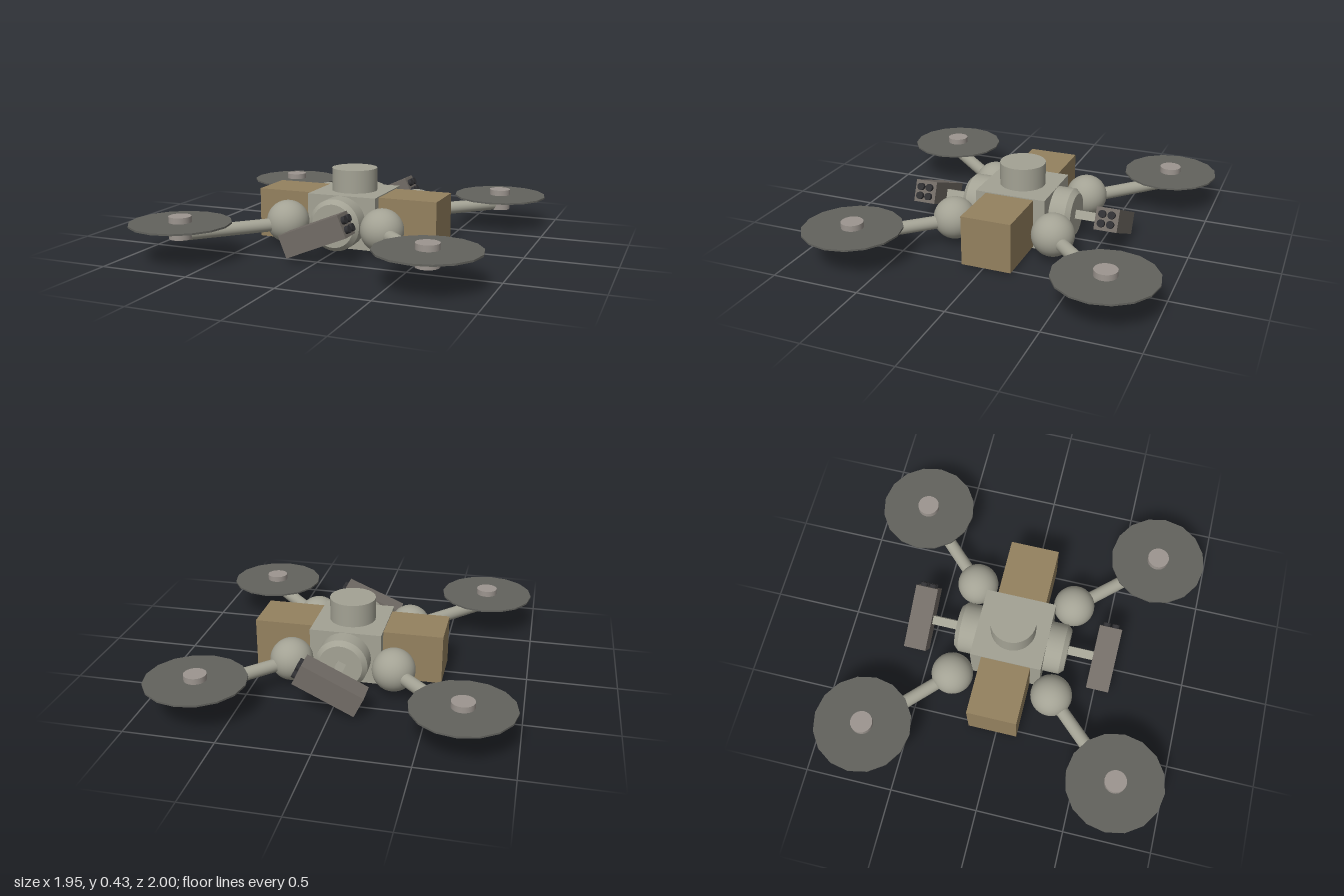
import * as THREE from 'three';

const paint = (color, flatShading = false) => new THREE.MeshStandardMaterial({ color, flatShading });

export function createModel() {
  const model = new THREE.Group();
  model.name = 'drone';

  const hull = paint(0xa3a294);
  const tan = paint(0x94815f);
  const gunmetal = paint(0x726c66);
  const rotorGrey = paint(0x62625d, true);
  const motorGrey = paint(0x9c958f);
  const dark = paint(0x303033);

  const add = (parent, name, geometry, material, x = 0, y = 0, z = 0) => {
    const mesh = new THREE.Mesh(geometry, material);
    mesh.name = name;
    mesh.position.set(x, y, z);
    parent.add(mesh);
    return mesh;
  };

  // Central body with round top hatch and cargo boxes on both sides
  add(model, 'body', new THREE.BoxGeometry(0.405, 0.3, 0.41), hull, 0.003, 0.15, -0.025);
  add(model, 'topHatch', new THREE.CylinderGeometry(0.13, 0.13, 0.14, 32), hull, 0.003, 0.36, -0.025);
  for (const side of [-1, 1]) {
    add(model, side > 0 ? 'leftCargoBox' : 'rightCargoBox',
      new THREE.BoxGeometry(0.35, 0.284, 0.285), tan, 0.003 + side * 0.362, 0.152, -0.022);
  }

  // Chamfered collar, mount rod and tilted gun at the front and the back
  const mounts = [
    { name: 'front', dir: 1, tilt: 22.5, gunZ: 0.515 },
    { name: 'back', dir: -1, tilt: 25.5, gunZ: -0.575 },
  ];
  for (const { name, dir, tilt, gunZ } of mounts) {
    const angle = THREE.MathUtils.degToRad(tilt);
    const turn = dir * Math.PI / 2;
    const faceZ = -0.025 + dir * 0.2;

    const collar = new THREE.Group();
    collar.name = name + 'Collar';
    collar.position.set(0.003, 0.152, faceZ);
    collar.rotation.x = turn;
    add(collar, 'collarDrum', new THREE.CylinderGeometry(0.147, 0.147, 0.1, 32), hull, 0, 0.05, 0);
    add(collar, 'collarChamfer', new THREE.CylinderGeometry(0.122, 0.147, 0.027, 32), hull, 0, 0.1135, 0);
    model.add(collar);

    const gun = new THREE.Group();
    gun.name = name + 'Gun';
    gun.position.set(0.004, 0.155, gunZ);
    gun.rotation.z = angle;
    add(gun, 'gunHousing', new THREE.BoxGeometry(0.368, 0.127, 0.13), gunmetal);
    add(gun, 'mountRod', new THREE.BoxGeometry(0.05, 0.05, 0.19), hull, 0, 0, -dir * 0.16);
    for (const by of [-0.026, 0.026]) {
      for (const bz of [-0.026, 0.026]) {
        const barrel = add(gun, 'barrel', new THREE.CylinderGeometry(0.021, 0.021, 0.03, 16), dark, 0.19, by, bz);
        barrel.rotation.z = Math.PI / 2;
      }
    }
    model.add(gun);
  }

  // Four arms: ball joint, strut, motor and rotor disc
  const arms = [
    { name: 'frontLeft', ball: [0.284, 0.277], hub: [0.675, 0.703], y: 0.163 },
    { name: 'frontRight', ball: [-0.284, 0.266], hub: [-0.702, 0.718], y: 0.177 },
    { name: 'backLeft', ball: [0.289, -0.311], hub: [0.694, -0.726], y: 0.166 },
    { name: 'backRight', ball: [-0.288, -0.318], hub: [-0.707, -0.726], y: 0.175 },
  ];
  for (const { name, ball, hub, y } of arms) {
    const arm = new THREE.Group();
    arm.name = name + 'Arm';
    add(arm, 'ballJoint', new THREE.SphereGeometry(0.12, 32, 20), hull, ball[0], 0.15, ball[1]);

    const start = new THREE.Vector3(ball[0], 0.138, ball[1]);
    const end = new THREE.Vector3(hub[0], 0.138, hub[1]);
    const along = end.clone().sub(start);
    const mid = start.clone().add(end).multiplyScalar(0.5);
    const strut = add(arm, 'strut', new THREE.CylinderGeometry(0.037, 0.037, along.length(), 24), hull, mid.x, mid.y, mid.z);
    strut.quaternion.setFromUnitVectors(new THREE.Vector3(0, 1, 0), along.normalize());

    add(arm, 'motor', new THREE.CylinderGeometry(0.062, 0.062, 0.122, 24), motorGrey, hub[0], y, hub[1]);
    add(arm, 'rotorDisc', new THREE.CylinderGeometry(0.276, 0.276, 0.01, 16), rotorGrey, hub[0], y + 0.023, hub[1]);
    model.add(arm);
  }

  return model;
}
